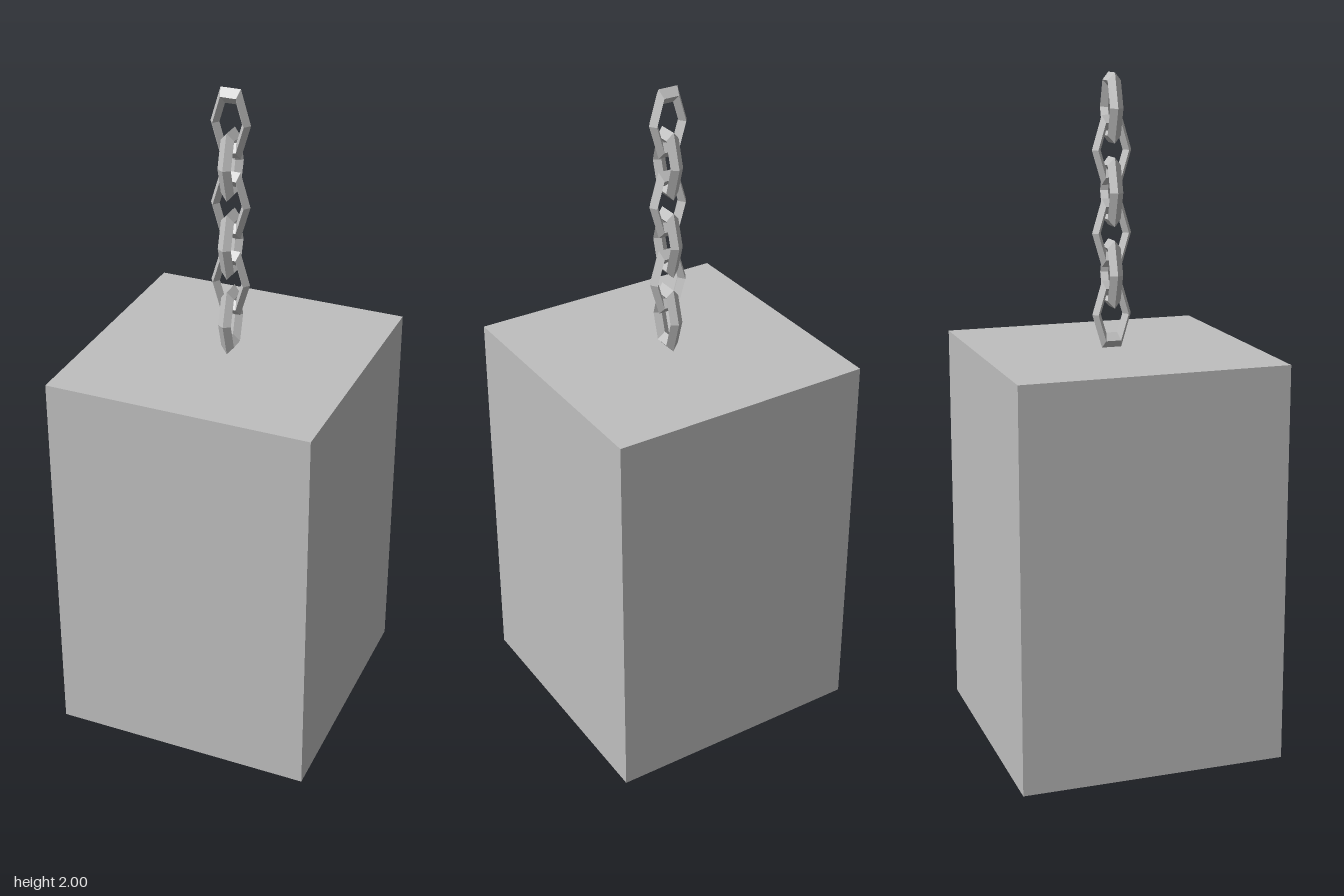
import * as THREE from 'three';

export function createModel() {
  const group = new THREE.Group();
  const blockGrey = new THREE.MeshStandardMaterial({ color: 0xbfbfbf, flatShading: true });
  blockGrey.name = 'plain grey';

  // Heavy hanging block
  const block = new THREE.Mesh(new THREE.BoxGeometry(0.8, 1.2, 0.8), blockGrey);
  block.name = 'block';
  block.position.y = 0.6;
  group.add(block);

  // Six-sided link with a diamond section, stretched upright
  const linkGeometry = new THREE.TorusGeometry(0.07, 0.02, 4, 6);
  linkGeometry.scale(2 / 3, 0.1 / (0.09 * Math.sin(Math.PI / 3)), 1);

  // Chain of interlocking links, each turned a quarter from the last
  const chain = new THREE.Group();
  chain.name = 'chain';
  for (let i = 0; i < 6; i++) {
    const link = new THREE.Mesh(linkGeometry, blockGrey);
    link.name = 'chainLink' + (i + 1);
    link.position.y = 1.3 + i * 0.12;
    link.rotation.y = i % 2 === 0 ? Math.PI / 2 : 0;
    chain.add(link);
  }
  group.add(chain);
  return group;
}
